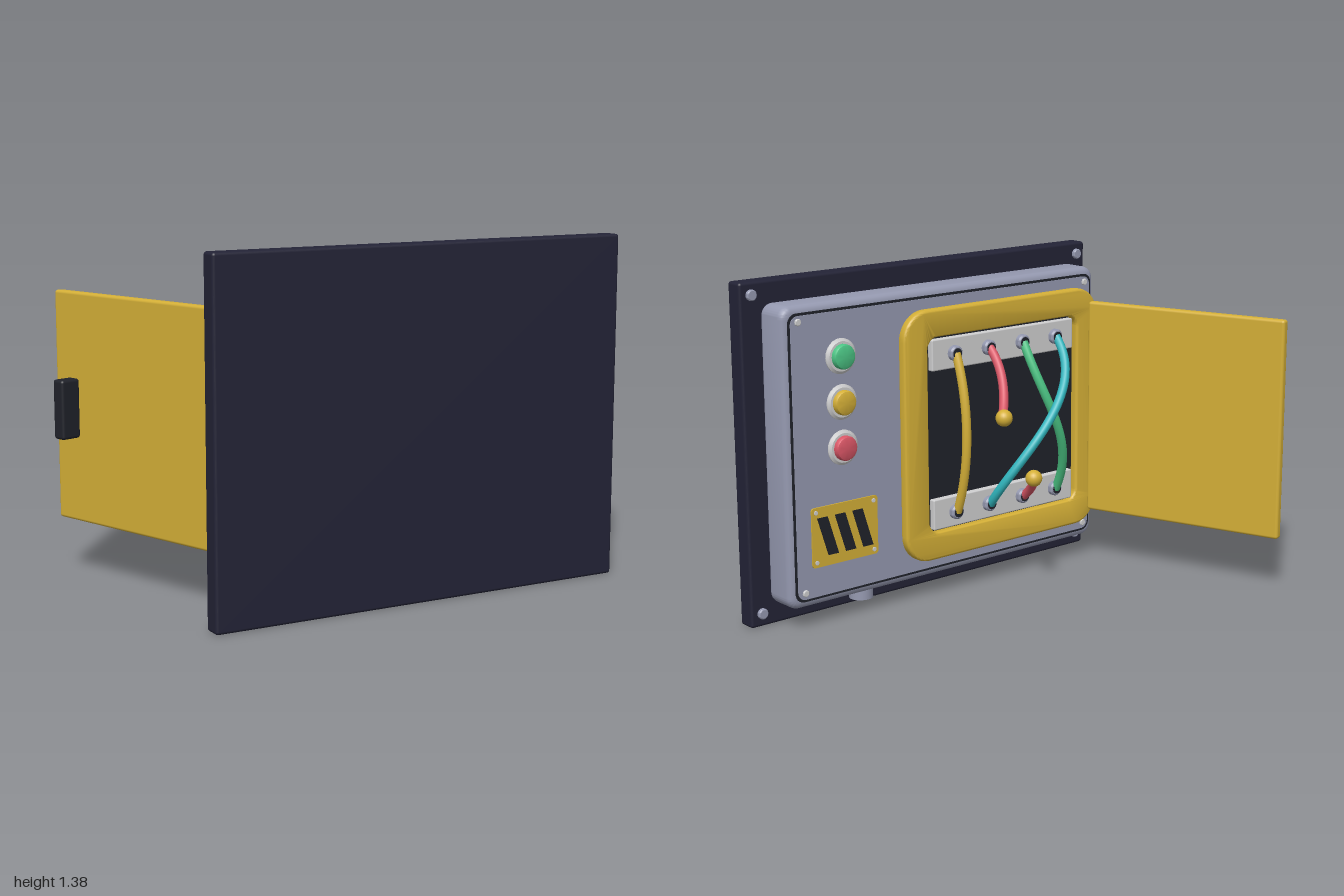
import * as THREE from 'three';
import { toCreasedNormals } from 'three/addons/utils/BufferGeometryUtils.js';
import { RoundedBoxGeometry } from 'three/addons/geometries/RoundedBoxGeometry.js';

const mat = (name, color) => Object.assign(new THREE.MeshStandardMaterial({ color }), { name });
const navy = mat('navy', 0x232336);
const casing = mat('casing grey', 0x9599b0);
const gold = mat('gold', 0xd4af37);
const black = mat('black', 0x20222a);
const silver = mat('silver', 0xcfcfd0);
const green = mat('green', 0x4bc484);
const red = mat('red', 0xd85565);
const teal = mat('teal', 0x2fb4bc);

// Rounded rectangle drawn on a Shape or Path
function roundRect(p, x0, x1, y0, y1, r) {
  p.moveTo(x0 + r, y0).lineTo(x1 - r, y0);
  p.absarc(x1 - r, y0 + r, r, -Math.PI / 2, 0);
  p.lineTo(x1, y1 - r).absarc(x1 - r, y1 - r, r, 0, Math.PI / 2);
  p.lineTo(x0 + r, y1).absarc(x0 + r, y1 - r, r, Math.PI / 2, Math.PI);
  p.lineTo(x0, y0 + r).absarc(x0 + r, y0 + r, r, Math.PI, Math.PI * 1.5);
  return p;
}

// Shape extruded from z0 to z1 with rounded edges
function slab(shape, z0, z1, bevel) {
  const geo = new THREE.ExtrudeGeometry(shape, {
    depth: z1 - z0 - 2 * bevel, bevelEnabled: bevel > 0, bevelSize: bevel, bevelThickness: bevel,
    bevelOffset: -bevel, bevelSegments: 4, curveSegments: 8,
  });
  geo.translate(0, 0, z0 + bevel);
  return toCreasedNormals(geo, 0.6);
}

export function createModel() {
  const model = new THREE.Group();
  model.name = 'electricalPanel';

  const add = (name, geo, material, x = 0, y = 0, z = 0, parent = model) => {
    const mesh = new THREE.Mesh(geo, material);
    mesh.name = name;
    mesh.position.set(x, y, z);
    parent.add(mesh);
    return mesh;
  };
  const rectSlab = (name, material, x0, x1, y0, y1, r, z0, z1, bevel = 0) =>
    add(name, slab(roundRect(new THREE.Shape(), x0, x1, y0, y1, r), z0, z1, bevel), material);

  // Turned part facing -z; profile points are [radius, height out of the panel]
  const turned = (name, material, x, y, z, profile) => {
    const geo = new THREE.LatheGeometry(profile.map(p => new THREE.Vector2(...p)), 24);
    geo.rotateX(-Math.PI / 2);
    return add(name, toCreasedNormals(geo, 0.6), material, x, y, z);
  };
  const screw = (name, x, y, z, r, h, material) =>
    turned(name, material, x, y, z, [[r, 0], [r, h * 0.7], [r * 0.8, h], [0, h]]);

  // Wall plate with corner bolts
  add('wallPlate', new RoundedBoxGeometry(1.79, 1.385, 0.08, 3, 0.012), navy, 0.105, 0.6925, 0.535);
  for (const x of [-0.74, 0.95]) for (const y of [0.055, 1.335])
    screw('plateBolt', x, y, 0.495, 0.022, 0.016, casing);

  // Casing, gasket and face panel
  rectSlab('casing', casing, -0.71, 0.915, 0.09, 1.30, 0.05, 0.345, 0.5, 0.03);
  rectSlab('gasket', black, -0.685, 0.888, 0.118, 1.272, 0.04, 0.342, 0.348);
  rectSlab('facePanel', casing, -0.675, 0.878, 0.128, 1.262, 0.035, 0.339, 0.346);
  for (const x of [-0.645, 0.845]) for (const y of [0.155, 1.238])
    screw('panelScrew', x, y, 0.339, 0.014, 0.008, silver);
  add('drainPlug', new THREE.CylinderGeometry(0.05, 0.05, 0.07, 24), casing, 0.5, 0.072, 0.445);

  // Door frame around the dark wiring bay
  const frame = roundRect(new THREE.Shape(), -0.69, 0.365, 0.17, 1.22, 0.12);
  frame.holes.push(roundRect(new THREE.Path(), -0.57, 0.245, 0.285, 1.105, 0.05));
  add('doorFrame', slab(frame, 0.30, 0.345, 0.012), gold);
  rectSlab('wiringBay', black, -0.6, 0.275, 0.26, 1.13, 0.05, 0.334, 0.342);

  // Terminal strips
  const termX = [0.11, -0.07, -0.255, -0.44], topY = 1.03, lowY = 0.36;
  for (const y of [topY, lowY]) {
    add('terminalStrip', new RoundedBoxGeometry(0.77, 0.13, 0.03, 2, 0.006), silver, -0.163, y, 0.32);
    for (const x of termX) {
      turned('terminal', casing, x, y, 0.306, [[0.032, 0], [0.032, 0.018], [0.026, 0.025], [0, 0.025]]);
      turned('terminalSocket', black, x, y, 0.281, [[0.022, 0], [0.022, 0.003], [0, 0.003]]);
    }
  }

  // Wires
  const wire = (name, material, a, b, c, d) => {
    const curve = new THREE.CubicBezierCurve3(...[a, b, c, d].map(p => new THREE.Vector3(...p)));
    add(name, new THREE.TubeGeometry(curve, 40, 0.019, 12), material);
    return curve;
  };
  wire('yellowWire', gold, [0.11, topY, 0.29], [0.11, 0.82, 0.205], [0.11, 0.57, 0.205], [0.11, lowY, 0.29]);
  wire('greenWire', green, [-0.255, topY, 0.29], [-0.255, 0.78, 0.155], [-0.44, 0.61, 0.155], [-0.44, lowY, 0.29]);
  wire('tealWire', teal, [-0.44, topY, 0.29], [-0.46, 0.8, 0.095], [-0.05, 0.6, 0.095], [-0.07, lowY, 0.29]);

  // Loose wires ending in a ferrule and a round tip
  const loose = [
    [[-0.07, topY, 0.29], [-0.07, 0.95, 0.2], [-0.03, 0.86, 0.15], [0.022, 0.802, 0.1], [0.043, 0.788, 0.07]],
    [[-0.255, lowY, 0.29], [-0.255, 0.43, 0.2], [-0.2, 0.495, 0.16], [-0.122, 0.508, 0.085], [-0.1, 0.515, 0.05]],
  ];
  for (const [a, b, c, d, tip] of loose) {
    wire('looseWire', red, a, b, c, d);
    const line = new THREE.LineCurve3(new THREE.Vector3(...d).lerp(new THREE.Vector3(...c), 0.05), new THREE.Vector3(...tip));
    add('ferrule', new THREE.TubeGeometry(line, 1, 0.014, 12), silver);
    add('wireTip', new THREE.SphereGeometry(0.035, 24, 16), gold, ...tip);
  }

  // Indicator buttons
  [[green, 1.083], [gold, 0.9], [red, 0.717]].forEach(([material, y]) => {
    turned('buttonBezel', silver, 0.65, y, 0.339, [[0.071, 0], [0.071, 0.005], [0.06, 0.013], [0, 0.013]]);
    turned('buttonCap', material, 0.65, y, 0.327,
      [[0.05, 0], [0.05, 0.016], [0.046, 0.023], [0.036, 0.027], [0, 0.028]]);
  });

  // Vent plate with slanted slots
  rectSlab('ventPlate', gold, 0.49, 0.81, 0.25, 0.495, 0.012, 0.333, 0.341);
  for (const x of [-0.085, 0, 0.085]) {
    const slot = new THREE.Shape([[0.0, 0.08], [-0.05, -0.08], [0.0, -0.08], [0.05, 0.08]]
      .map(([u, v]) => new THREE.Vector2(0.65 + x + u, 0.372 + v)));
    add('ventSlot', slab(slot, 0.331, 0.334, 0), black);
  }
  for (const x of [0.51, 0.79]) for (const y of [0.27, 0.475])
    screw('ventScrew', x, y, 0.333, 0.009, 0.004, silver);

  // Open door with handle and hinges
  const door = new THREE.Group();
  door.name = 'door';
  door.position.set(-0.785, 0.695, -0.135);
  door.rotation.y = 0.313;
  model.add(door);
  add('doorPanel', new RoundedBoxGeometry(0.04, 0.93, 0.91, 3, 0.012), gold, 0, 0, 0, door);
  add('doorHandle', new RoundedBoxGeometry(0.09, 0.24, 0.06, 3, 0.012), black, -0.062, 0, -0.341, door);
  for (const y of [0.39, 1.0])
    add('hinge', new THREE.CylinderGeometry(0.014, 0.014, 0.16, 16), casing, -0.668, y, 0.296);

  return model;
}
